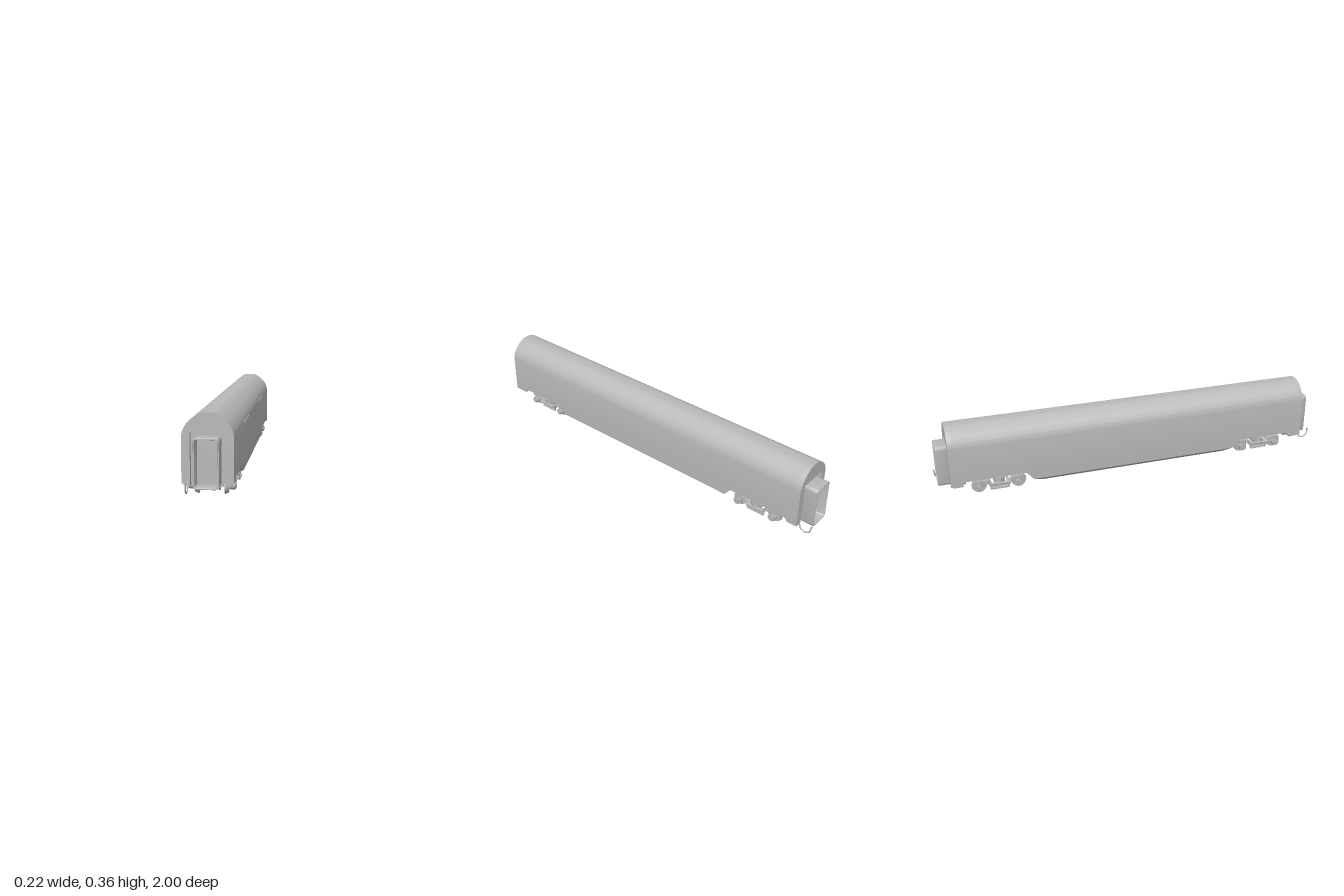
import * as THREE from 'three';
import { toCreasedNormals } from 'three/addons/utils/BufferGeometryUtils.js';

const grey = new THREE.MeshStandardMaterial({ color: 0xb8b8b8 });
grey.name = 'plain grey';

function add(parent, name, geometry, x = 0, y = 0, z = 0) {
  const mesh = new THREE.Mesh(geometry, grey);
  mesh.name = name;
  mesh.position.set(x, y, z);
  parent.add(mesh);
  return mesh;
}

const box = (w, h, d) => new THREE.BoxGeometry(w, h, d);
const axial = (r, w, n = 24) => new THREE.CylinderGeometry(r, r, w, n).rotateZ(Math.PI / 2);
const vec = ([x, y]) => new THREE.Vector2(x, y);

function extrude(shape, depth) {
  const g = new THREE.ExtrudeGeometry(shape, { depth, bevelEnabled: false, curveSegments: 8 });
  return g.translate(0, 0, -depth / 2);
}

// Outline drawn along the car (z, y), extruded across its width
const sideways = (points, width) => extrude(new THREE.Shape(points.map(vec)), width).rotateY(-Math.PI / 2);

// Round-roofed cross-section, walls reaching down to the given height
function carSection(bottom) {
  const half = [[0.107, 0.262], [0.102, 0.287], [0.087, 0.314], [0.063, 0.338], [0.034, 0.356], [0.018, 0.36]];
  const arch = [...half, [0, 0.36], ...half.map(([x, y]) => [-x, y]).reverse()].map(vec);
  const roof = new THREE.SplineCurve(arch).getPoints(48);
  return [vec([0.107, bottom]), ...roof, vec([-0.107, bottom])];
}

function roundedRect(path, w, y0, y1, r) {
  path.moveTo(-w + r, y0);
  path.lineTo(w - r, y0);
  path.absarc(w - r, y0 + r, r, -Math.PI / 2, 0);
  path.absarc(w - r, y1 - r, r, 0, Math.PI / 2);
  path.absarc(-w + r, y1 - r, r, Math.PI / 2, Math.PI);
  path.absarc(-w + r, y0 + r, r, Math.PI, Math.PI * 1.5);
  return path;
}

function createBody() {
  const body = new THREE.Group();
  body.name = 'carBody';
  add(body, 'bodyShell', toCreasedNormals(extrude(new THREE.Shape(carSection(0.09)), 1.82), 0.5));
  add(body, 'middleSkirt', sideways([[-0.57, 0.09], [-0.535, 0.05], [0.535, 0.05], [0.57, 0.09]], 0.214));

  // Belly pan with sloping sides and ends
  const pan = box(0.214, 0.02, 1.07);
  const p = pan.attributes.position;
  for (let i = 0; i < p.count; i++) {
    if (p.getY(i) < 0) p.setXYZ(i, p.getX(i) * 0.8, p.getY(i), p.getZ(i) * 0.916);
  }
  pan.computeVertexNormals();
  add(body, 'bellyPan', pan, 0, 0.04, 0);

  // Thin trim strips high on both walls
  for (const s of [-1, 1]) {
    for (const z of [-0.415, 0.415]) add(body, 'sideTrim', box(0.004, 0.005, 0.235), s * 0.108, 0.265, z);
  }
  return body;
}

// Front end wall with recess, passage and hose; turned round for the back
function createEnd() {
  const end = new THREE.Group();
  const wall = [...carSection(0.07), ...[[-0.072, 0.07], [-0.072, 0.28], [0.072, 0.28], [0.072, 0.07]].map(vec)];
  add(end, 'endWall', toCreasedNormals(extrude(new THREE.Shape(wall), 0.025), 0.5), 0, 0, 0.9225);
  add(end, 'endSkirt', sideways([[0.865, 0.09], [0.89, 0.07], [0.91, 0.07], [0.91, 0.09]], 0.214));
  const sill = [[-0.072, 0.09], [-0.072, 0.085], [-0.056, 0.052], [0.056, 0.052], [0.072, 0.085], [0.072, 0.09]];
  add(end, 'endSill', extrude(new THREE.Shape(sill.map(vec)), 0.05), 0, 0, 0.885);

  // Hollow passage between cars
  const ring = roundedRect(new THREE.Shape(), 0.051, 0.06, 0.263, 0.014);
  ring.holes.push(roundedRect(new THREE.Path(), 0.048, 0.063, 0.26, 0.011));
  const tube = new THREE.ExtrudeGeometry(ring, {
    depth: 0.076, bevelSize: 0.002, bevelThickness: 0.003, bevelSegments: 2, curveSegments: 6,
  });
  add(end, 'gangway', toCreasedNormals(tube, 0.7), 0, 0, 0.911);

  // Hanging hose, steps and brackets at the corners
  const drop = [[0.08, 0.932], [0.05, 0.944], [0.038, 0.966], [0.05, 0.989], [0.084, 0.997]];
  const hose = new THREE.CatmullRomCurve3(drop.map(([y, z]) => new THREE.Vector3(-0.081, y, z)));
  add(end, 'hose', new THREE.TubeGeometry(hose, 24, 0.0035, 8));
  add(end, 'hoseTip', box(0.01, 0.008, 0.006), -0.081, 0.081, 0.997);
  for (const s of [-1, 1]) add(end, 'cornerBracket', box(0.022, 0.014, 0.05), s * 0.084, 0.066, 0.9);
  return end;
}

function createBogie() {
  const bogie = new THREE.Group();
  for (const z of [-0.097, 0.097]) {
    add(bogie, 'axle', axial(0.008, 0.18, 16), 0, 0.038, z);
    for (const x of [-0.032, 0, 0.032]) add(bogie, 'brakeDisc', axial(0.023, 0.006), x, 0.038, z);
    for (const s of [-1, 1]) {
      add(bogie, 'wheel', axial(0.034, 0.012, 32), s * 0.063, 0.038, z);
      add(bogie, 'wheelFlange', axial(0.038, 0.004, 32), s * 0.057, 0.038, z);
      add(bogie, 'axleBox', axial(0.018, 0.022), s * 0.087, 0.038, z);
      add(bogie, 'axleCap', axial(0.01, 0.006, 16), s * 0.1, 0.038, z);
      add(bogie, 'axleSpring', new THREE.CylinderGeometry(0.011, 0.011, 0.022, 16), s * 0.083, 0.064, z);
    }
  }

  // Side frames dip between the wheels and carry the air springs
  const frame = [
    [-0.115, 0.062], [-0.065, 0.058], [-0.045, 0.034], [0.045, 0.034], [0.065, 0.058], [0.115, 0.062],
    [0.115, 0.074], [0.06, 0.072], [0.038, 0.048], [-0.038, 0.048], [-0.06, 0.072], [-0.115, 0.074],
  ];
  for (const s of [-1, 1]) {
    add(bogie, 'sideFrame', sideways(frame, 0.018), s * 0.083, 0, 0);
    add(bogie, 'airSpring', new THREE.CylinderGeometry(0.024, 0.024, 0.024, 24), s * 0.079, 0.07, 0);
    add(bogie, 'springSeat', new THREE.CylinderGeometry(0.016, 0.016, 0.014, 20), s * 0.081, 0.054, 0);
    add(bogie, 'lowerBeam', box(0.012, 0.008, 0.09), s * 0.08, 0.02, 0);
    for (const z of [-0.043, 0.043]) add(bogie, 'beamHanger', box(0.008, 0.026, 0.008), s * 0.08, 0.03, z);
    const damper = add(bogie, 'damper', new THREE.CylinderGeometry(0.005, 0.005, 0.1, 12), s * 0.1, 0.054, 0);
    damper.rotation.x = Math.PI / 2;
  }
  add(bogie, 'bolster', box(0.16, 0.02, 0.05), 0, 0.052, 0);
  add(bogie, 'pivot', new THREE.CylinderGeometry(0.018, 0.018, 0.03, 20), 0, 0.077, 0);
  for (const z of [-0.045, 0.045]) add(bogie, 'crossBeam', axial(0.007, 0.16, 12), 0, 0.04, z);
  return bogie;
}

export function createModel() {
  const model = new THREE.Group();
  model.name = 'railwayCar';
  model.add(createBody());
  for (const s of [1, -1]) {
    const end = createEnd();
    end.name = s > 0 ? 'frontEnd' : 'backEnd';
    end.rotation.y = s > 0 ? 0 : Math.PI;
    const bogie = createBogie();
    bogie.name = s > 0 ? 'frontBogie' : 'backBogie';
    bogie.position.z = s * 0.7;
    model.add(end, bogie);
  }
  return model;
}
